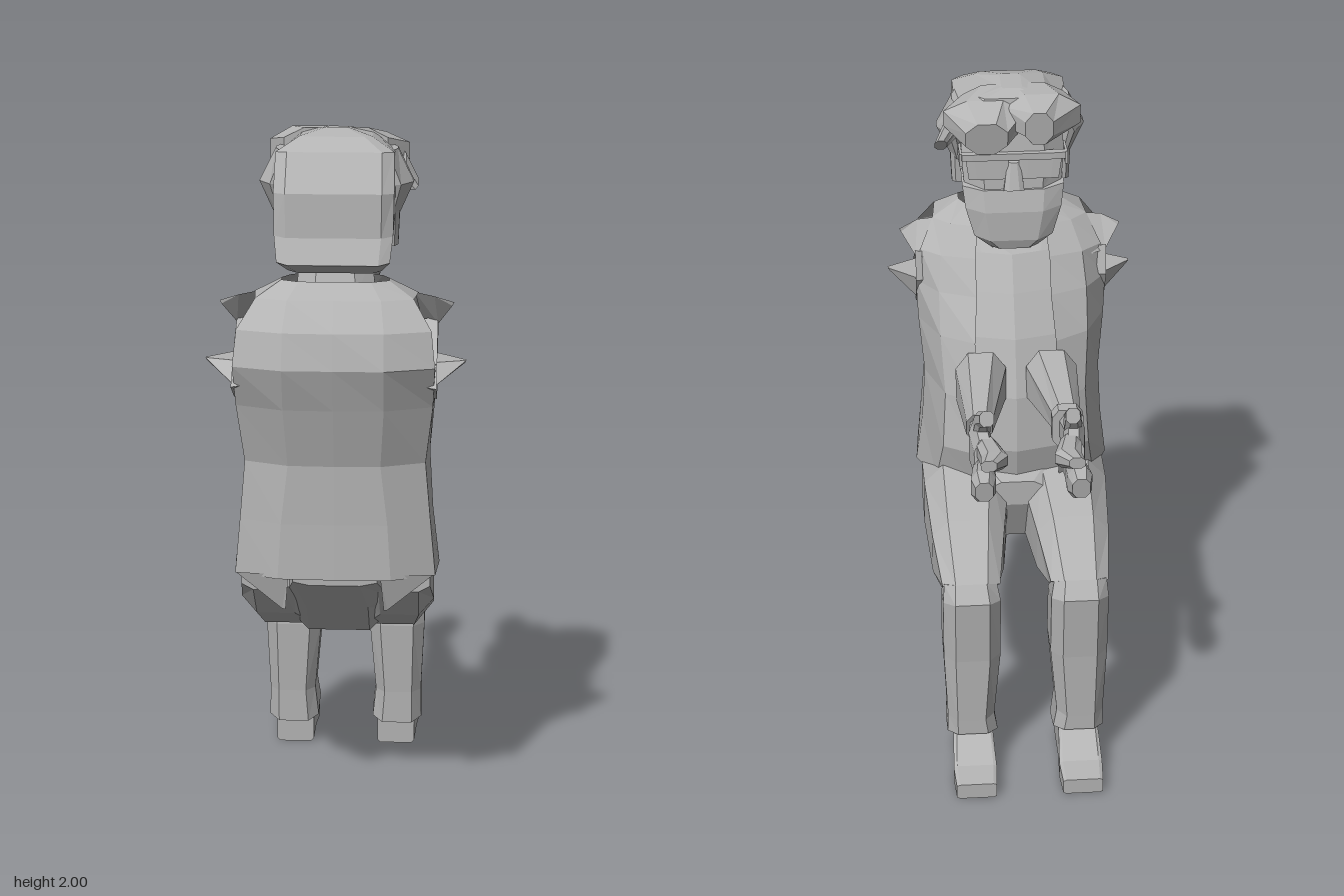
import * as THREE from 'three';

const grey = new THREE.MeshStandardMaterial({ color: 0xb4b4b4 });
grey.name = 'plainGrey';
grey.flatShading = true;
grey.side = THREE.DoubleSide;

// Eight-sided slice from x0 to x1, running from point A (y, z) to point B (y, z)
function slice([x0, x1, ya, za, yb, zb], c) {
  const corners = [[c, 0], [1 - c, 0], [1, c], [1, 1 - c], [1 - c, 1], [c, 1], [0, 1 - c], [0, c]];
  return corners.map(([u, v]) => [x0 + (x1 - x0) * u, ya + (yb - ya) * v, za + (zb - za) * v]);
}

// Flat-shaded mesh joining rings of points; skip(row, column) leaves holes
function skin(name, rings, { closed = true, skip = () => false } = {}) {
  const n = rings[0].length, tris = [];
  for (let r = 0; r < rings.length - 1; r++) {
    for (let i = 0; i < (closed ? n : n - 1); i++) {
      if (skip(r, i)) continue;
      const j = (i + 1) % n, a = rings[r], b = rings[r + 1];
      tris.push([a[i], a[j], b[j]], [a[i], b[j], b[i]]);
    }
  }
  if (closed) {
    const first = rings[0], last = rings[rings.length - 1];
    for (let i = 1; i < n - 1; i++) {
      tris.push([first[0], first[i + 1], first[i]], [last[0], last[i], last[i + 1]]);
    }
  }
  // turn the faces outward
  const [va, vb, vc] = [0, 1, 2].map(() => new THREE.Vector3());
  const mid = new THREE.Vector3();
  rings.flat().forEach(p => mid.add(va.fromArray(p)));
  mid.divideScalar(n * rings.length);
  let volume = 0;
  for (const [a, b, c] of tris) {
    va.fromArray(a).sub(mid); vb.fromArray(b).sub(mid); vc.fromArray(c).sub(mid);
    volume += va.dot(vb.cross(vc));
  }
  if (volume < 0) tris.forEach(t => t.reverse());
  const g = new THREE.BufferGeometry();
  g.setAttribute('position', new THREE.Float32BufferAttribute(tris.flat(2), 3));
  g.computeVertexNormals();
  const mesh = new THREE.Mesh(g, grey);
  mesh.name = name;
  return mesh;
}

const loft = (name, rows, c = 0.25) => skin(name, rows.map(r => slice(r, c)));
// Symmetric loft, each row: half width, back y, back z, front y, front z
const centred = (name, rows, c) => loft(name, rows.map(([w, ...r]) => [-w, w, ...r]), c);

export function createModel() {
  const model = new THREE.Group();
  model.name = 'seatedFigure';
  const add = m => model.add(m);
  const pair = (name, rows, c) => {
    for (const s of [1, -1]) add(loft(name, rows.map(([a, b, ...r]) => [a * s, b * s, ...r]), c));
  };

  // Open jacket: [y, half ring of x, z pairs from the front edge to mid back]
  const jacket = [
    [0.74, [[0.13, 0.05], [0.24, 0.12], [0.295, 0.28], [0.285, 0.42], [0.16, 0.48], [0, 0.485]]],
    [0.90, [[0.12, 0.01], [0.22, 0.07], [0.275, 0.26], [0.27, 0.42], [0.15, 0.475], [0, 0.48]]],
    [1.07, [[0.12, 0.03], [0.21, 0.09], [0.265, 0.25], [0.255, 0.42], [0.13, 0.475], [0, 0.48]]],
    [1.24, [[0.12, 0.08], [0.22, 0.14], [0.28, 0.27], [0.275, 0.46], [0.14, 0.52], [0, 0.525]]],
    [1.36, [[0.11, 0.145], [0.22, 0.19], [0.285, 0.28], [0.28, 0.51], [0.14, 0.56], [0, 0.56]]],
    [1.46, [[0.11, 0.20], [0.21, 0.23], [0.27, 0.28], [0.27, 0.49], [0.14, 0.535], [0, 0.54]]],
    [1.54, [[0.10, 0.255], [0.18, 0.28], [0.23, 0.33], [0.22, 0.44], [0.13, 0.475], [0, 0.475]]],
    [1.585, [[0.09, 0.29], [0.13, 0.32], [0.15, 0.36], [0.15, 0.40], [0.10, 0.43], [0, 0.43]]],
  ];
  // the hem rises towards the front edge
  add(skin('jacket', jacket.map(([y, half], k) => {
    const side = half.map(([x, z]) => [x, k ? y : y + Math.max(0, 0.2 - z) * 0.3, z]);
    return [...side, ...side.slice(0, -1).reverse().map(([x, h, z]) => [-x, h, z])];
  }), {
    closed: false,
    skip: (r, i) => Math.min(i, 9 - i) === 2 && (r === 4 || r === 5),
  }));

  // Shirt front with a scooped neck
  const shirt = [[0.76, 0.05], [0.9, 0.02], [1.07, 0.04], [1.24, 0.095], [1.36, 0.16], [1.46, 0.22], [1.54, 0.275]];
  add(skin('shirtFront', shirt.map(([y, z], k) => [-0.18, -0.09, 0, 0.09, 0.18].map(x => {
    const scoop = k === 6 ? 0.07 * (1 - Math.abs(x) / 0.18) : 0;
    return [x, y - scoop, z + Math.abs(x) * 0.25 - scoop * 0.5];
  })), { closed: false }));

  // Sleeve ends with torn points
  const cuff = [[1.30, 0.50], [1.37, 0.42], [1.42, 0.35], [1.46, 0.27], [1.37, 0.25], [1.28, 0.30], [1.25, 0.40]];
  for (const s of [1, -1]) {
    const ring = (x, k) => cuff.map(([y, z]) => [x * s, 1.36 + (y - 1.36) * k, 0.36 + (z - 0.36) * k]);
    add(skin('sleeveStub', [ring(0.20, 0.85), ring(0.285, 1), ring(0.25, 0.5)]));
    add(skin('sleevePoint', [
      [[0.27, 1.27, 0.32], [0.27, 1.30, 0.50], [0.27, 1.36, 0.43], [0.27, 1.36, 0.28]],
      [[0.362, 1.35, 0.37], [0.362, 1.35, 0.38], [0.366, 1.357, 0.38], [0.366, 1.357, 0.37]],
    ].map(r => r.map(([x, y, z]) => [x * s, y, z]))));
    add(skin('shoulderFlap', [
      [[0.22, 1.54, 0.33], [0.24, 1.44, 0.25]],
      [[0.275, 1.53, 0.34], [0.285, 1.44, 0.28]],
      [[0.33, 1.51, 0.32], [0.325, 1.50, 0.32]],
    ].map(r => r.map(([x, y, z]) => [x * s, y, z])), { closed: false }));
    add(skin('jacketTail', [
      [[0.13 * s, 0.75, 0.47], [0.28 * s, 0.75, 0.45]],
      [[0.14 * s, 0.64, 0.445], [0.15 * s, 0.64, 0.44]],
    ], { closed: false }));
  }

  // Pelvis, thighs, shins and shoes
  add(centred('pelvis', [
    [0.12, 0.71, 0.44, 0.76, 0.44], [0.15, 0.61, 0.32, 0.79, 0.32], [0.15, 0.50, 0.2, 0.82, 0.2],
    [0.15, 0.57, 0.08, 0.82, 0.08], [0.08, 0.72, 0.01, 0.80, 0.01],
  ], 0.2));
  pair('thigh', [
    [0.12, 0.27, 0.68, 0.39, 0.76, 0.39], [0.08, 0.28, 0.575, 0.28, 0.80, 0.24],
    [0.02, 0.278, 0.51, 0.17, 0.82, 0.09],
    [0.05, 0.265, 0.515, -0.1, 0.75, -0.12], [0.075, 0.245, 0.57, -0.2, 0.66, -0.33],
  ], 0.22);
  pair('shin', [
    [0.085, 0.24, 0.60, -0.2, 0.66, -0.33], [0.075, 0.245, 0.55, -0.165, 0.61, -0.365],
    [0.075, 0.245, 0.40, -0.145, 0.40, -0.35], [0.095, 0.235, 0.18, -0.155, 0.18, -0.345],
    [0.085, 0.237, 0.08, -0.155, 0.13, -0.345],
  ], 0.2);
  pair('shoe', [
    [0.10, 0.215, 0, -0.19, 0.12, -0.19], [0.10, 0.22, 0, -0.32, 0.13, -0.32],
    [0.095, 0.225, 0, -0.41, 0.06, -0.41], [0.10, 0.22, 0, -0.49, 0.05, -0.49],
  ], 0.08);

  // Forearms, hands and fingers
  pair('forearm', [
    [0.03, 0.18, 1.02, 0.05, 1.215, 0.07], [0.09, 0.165, 1.075, -0.2, 1.18, -0.24],
  ]);
  pair('hand', [
    [0.10, 0.155, 1.09, -0.23, 1.17, -0.23], [0.105, 0.165, 1.06, -0.36, 1.22, -0.33],
    [0.095, 0.155, 1.06, -0.44, 1.20, -0.42],
  ]);
  pair('upperFingers', [
    [0.09, 0.15, 1.13, -0.40, 1.20, -0.40], [0.065, 0.14, 1.15, -0.50, 1.21, -0.50],
    [0.10, 0.145, 1.18, -0.56, 1.215, -0.56],
  ]);
  pair('lowerFingers', [
    [0.10, 0.155, 1.06, -0.40, 1.14, -0.40], [0.10, 0.17, 1.05, -0.50, 1.155, -0.51],
    [0.11, 0.16, 1.08, -0.55, 1.145, -0.56],
  ]);
  pair('thumb', [
    [0.105, 0.155, 1.17, -0.36, 1.21, -0.31], [0.105, 0.15, 1.23, -0.40, 1.26, -0.36],
    [0.10, 0.14, 1.26, -0.45, 1.305, -0.44],
  ]);
  add(loft('wristBand', [[-0.17, -0.08, 1.07, -0.21, 1.19, -0.21], [-0.17, -0.08, 1.07, -0.25, 1.19, -0.25]], 0.2));

  // Neck, face, beard and nose
  add(centred('neck', [[0.115, 1.54, 0.42, 1.44, 0.25], [0.10, 1.66, 0.38, 1.6, 0.23]]));
  add(centred('face', [
    [0.11, 1.60, 0.31, 1.58, 0.17], [0.14, 1.68, 0.36, 1.70, 0.15],
    [0.15, 1.80, 0.40, 1.80, 0.155], [0.14, 1.93, 0.42, 1.93, 0.17],
  ], 0.2));
  add(centred('beard', [
    [0.07, 1.535, 0.23, 1.52, 0.14], [0.115, 1.59, 0.27, 1.55, 0.13], [0.14, 1.67, 0.28, 1.64, 0.13],
    [0.148, 1.73, 0.29, 1.705, 0.145],
  ], 0.2));
  add(centred('nose', [[0.03, 1.70, 0.16, 1.71, 0.125], [0.018, 1.80, 0.17, 1.79, 0.145]]));
  pair('ear', [[0.13, 0.172, 1.67, 0.33, 1.68, 0.27], [0.13, 0.178, 1.82, 0.36, 1.82, 0.26]]);

  // Glasses
  pair('lens', [[0.015, 0.13, 1.74, 0.15, 1.74, 0.144], [0.015, 0.14, 1.81, 0.152, 1.81, 0.146]], 0.2);
  add(centred('glassesBar', [[0.15, 1.80, 0.165, 1.80, 0.14], [0.15, 1.82, 0.165, 1.82, 0.14]], 0.1));
  pair('glassesArm', [[0.148, 0.157, 1.78, 0.15, 1.82, 0.15], [0.148, 0.157, 1.78, 0.29, 1.81, 0.29]], 0.1);

  // Hair: back mass, side locks and swept fringe
  add(centred('hair', [
    [0.13, 1.61, 0.43, 1.67, 0.36], [0.155, 1.65, 0.54, 1.70, 0.34], [0.163, 1.72, 0.51, 1.76, 0.32],
    [0.165, 1.84, 0.505, 1.83, 0.25], [0.163, 1.945, 0.44, 1.92, 0.17], [0.10, 1.98, 0.38, 1.975, 0.18],
    [0.03, 1.998, 0.31, 1.99, 0.22],
  ], 0.1));
  pair('sideLock', [
    [0.13, 0.175, 1.76, 0.36, 1.76, 0.25], [0.13, 0.215, 1.85, 0.39, 1.85, 0.22], [0.11, 0.17, 1.94, 0.39, 1.94, 0.19],
  ], 0.4);
  add(loft('fringeSweep', [
    [-0.06, 0.14, 1.89, 0.26, 1.99, 0.25], [-0.04, 0.20, 1.865, 0.19, 1.97, 0.18], [0.02, 0.14, 1.83, 0.12, 1.93, 0.10],
  ], 0.28));
  add(loft('fringeTuft', [
    [-0.15, 0.05, 1.89, 0.26, 1.99, 0.26], [-0.195, 0.03, 1.855, 0.19, 1.985, 0.18], [-0.11, -0.03, 1.86, 0.11, 1.96, 0.10],
  ], 0.28));
  add(loft('fringeWisp', [
    [0.13, 0.19, 1.86, 0.22, 1.93, 0.2], [0.19, 0.225, 1.81, 0.21, 1.85, 0.18],
  ]));
  return model;
}
